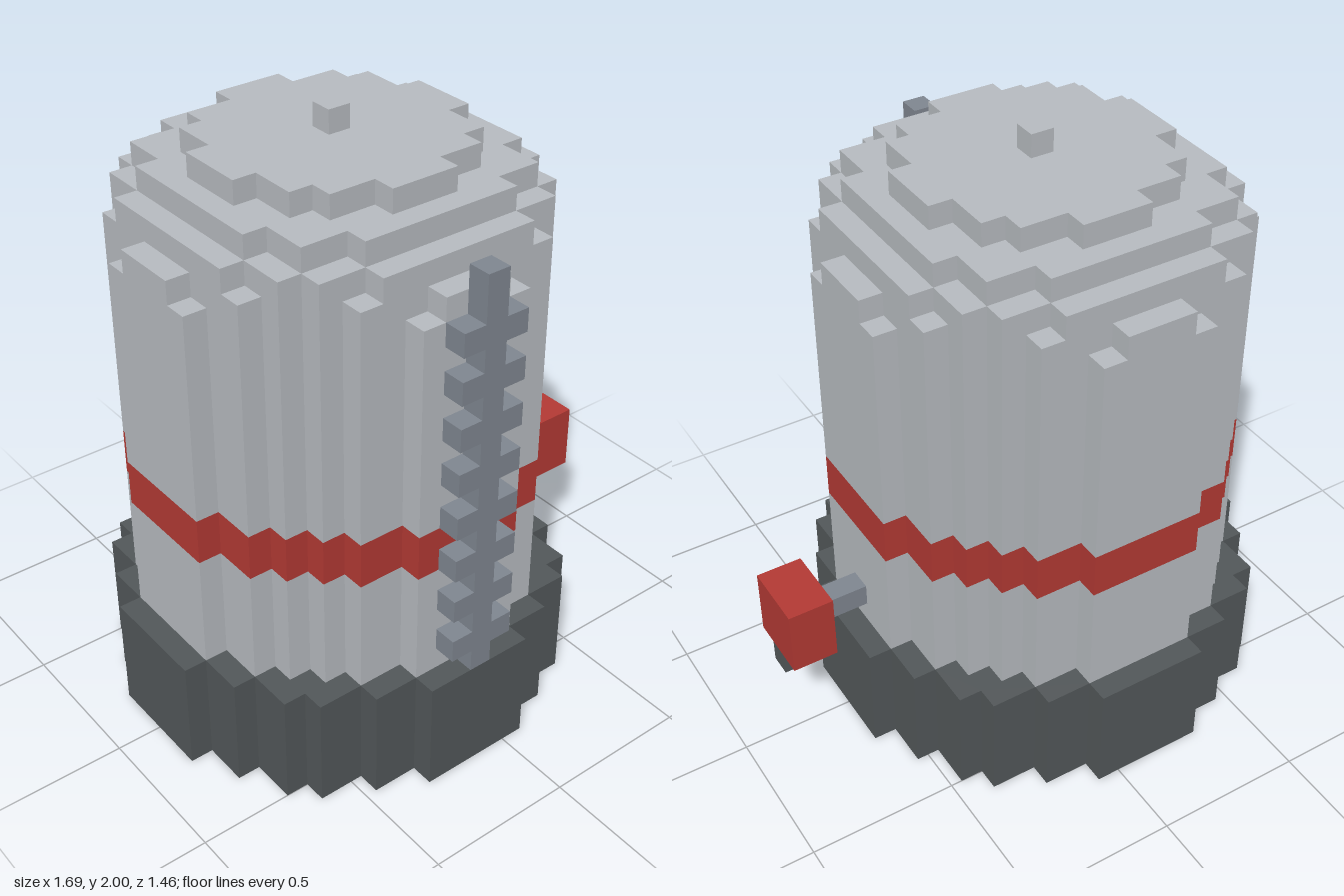
import * as THREE from 'three';

const U = 1 / 13;         // edge of one building block
const CX = -1.5 * U;      // axis of the drum

const mat = (name, color) => {
  const m = new THREE.MeshStandardMaterial({ color });
  m.name = name;
  return m;
};

// Stepped disc: half[k] is the reach in blocks of the row k blocks from the centre
function steppedDisc(half, y0, y1) {
  const n = half.length - 1;
  const right = [];
  for (let k = -n; k <= n; k++) {
    const w = half[Math.abs(k)] + 0.5;
    const last = right[right.length - 1];
    if (last && last[0] === w) last[1] = k + 0.5;
    else right.push([w, k - 0.5], [w, k + 0.5]);
  }
  const left = right.map(([x, z]) => [-x, z]).reverse();
  const shape = new THREE.Shape([...right, ...left].map(([x, z]) => new THREE.Vector2(x * U, z * U)));
  const g = new THREE.ExtrudeGeometry(shape, { depth: (y1 - y0) * U, bevelEnabled: false });
  g.rotateX(-Math.PI / 2);
  g.translate(CX, y0 * U, 0);
  return g;
}

// Box given by its limits in blocks, x measured from the drum axis
function blockBox(x0, x1, y0, y1, z0, z1) {
  const g = new THREE.BoxGeometry((x1 - x0) * U, (y1 - y0) * U, (z1 - z0) * U);
  g.translate(CX + (x0 + x1) * U / 2, (y0 + y1) * U / 2, (z0 + z1) * U / 2);
  return g;
}

export function createModel() {
  const model = new THREE.Group();
  const light = mat('light grey', 0xb8bcc1);
  const steel = mat('steel grey', 0x808791);
  const dark = mat('dark grey', 0x53585a);
  const red = mat('red', 0xb43a34);

  const add = (name, geometry, material, parent = model) => {
    const mesh = new THREE.Mesh(geometry, material);
    mesh.name = name;
    parent.add(mesh);
  };

  // Base and drum with its red band
  const drum = [8, 8, 8, 7, 7, 6, 5, 4, 2];
  add('base', steppedDisc([9, 9, 9, 8, 8, 7, 7, 6, 4, 2], 0, 5), dark);
  add('lowerDrum', steppedDisc(drum, 5, 10), light);
  add('band', steppedDisc(drum, 10, 12), red);
  add('upperDrum', steppedDisc(drum, 12, 21), light);

  // Domed top, one block per layer
  const dome = new THREE.Group();
  dome.name = 'dome';
  model.add(dome);
  [
    [8, 8, 7, 7, 7, 6, 5, 4, 1],
    [7, 7, 7, 7, 6, 6, 5, 3],
    [6, 6, 6, 6, 5, 5, 3],
    [5, 5, 4, 4, 3, 1],
  ].forEach((half, i) => add('domeLayer', steppedDisc(half, 21 + i, 22 + i), light, dome));
  add('knob', blockBox(-0.5, 0.5, 25, 26, -0.5, 0.5), light);

  // Toothed rail up the front
  const rail = new THREE.Group();
  rail.name = 'toothedRail';
  model.add(rail);
  add('railSpine', blockBox(-0.5, 0.5, 5, 23, 8.5, 9.5), steel, rail);
  for (let y = 6; y <= 20; y += 2) {
    for (const x of [-1, 1]) add('railTooth', blockBox(x - 0.5, x + 0.5, y, y + 1, 8.5, 9.5), steel, rail);
  }

  // Side arm with its red box and spout
  const tap = new THREE.Group();
  tap.name = 'sideTap';
  model.add(tap);
  add('arm', blockBox(8.5, 10.5, 6, 7, -0.5, 0.5), steel, tap);
  add('tapBox', blockBox(10.5, 12.5, 5, 8, -1.5, 1.5), red, tap);
  add('spout', blockBox(10.5, 12.5, 4, 5, -0.5, 0.5), dark, tap);

  return model;
}
